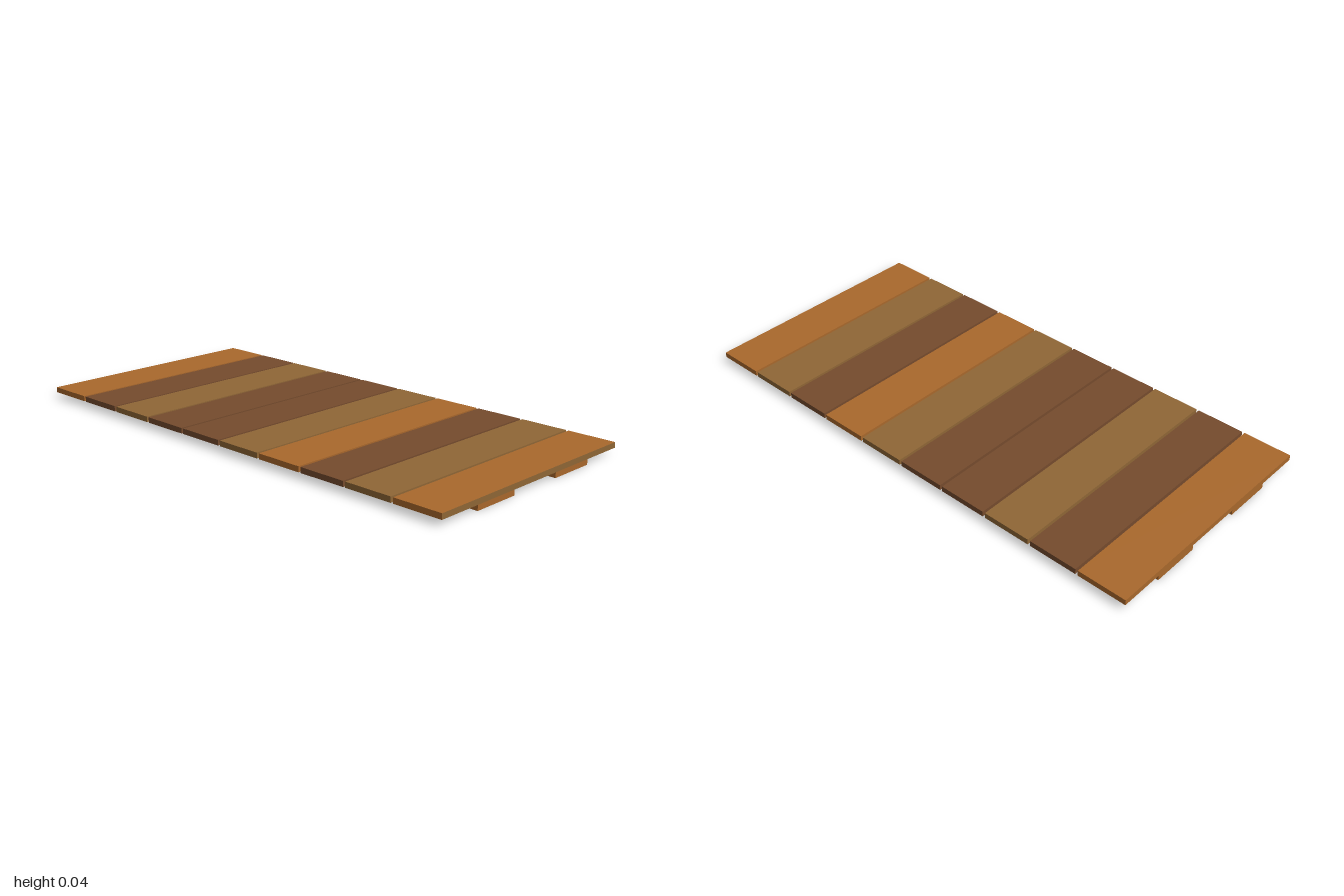
import * as THREE from 'three';

const paint = (name, color) => {
  const m = new THREE.MeshStandardMaterial({ color });
  m.name = name;
  return m;
};

export function createModel() {
  const orange = paint('orangeWood', 0xa9682c);
  const dark = paint('darkWood', 0x754b2d);
  const olive = paint('oliveWood', 0x8f6636);

  const group = new THREE.Group();
  group.name = 'plankPanel';

  const box = (name, size, position, material) => {
    const mesh = new THREE.Mesh(new THREE.BoxGeometry(...size), material);
    mesh.name = name;
    mesh.position.set(...position);
    group.add(mesh);
  };

  // Two long battens underneath
  const railHeight = 0.02;
  for (const [name, side] of [['frontBatten', 1], ['backBatten', -1]]) {
    box(name, [2, railHeight, 0.19], [0, railHeight / 2, side * 0.21], orange);
  }

  // Ten planks laid across with narrow gaps
  const width = 0.191, pitch = 0.201, thickness = 0.021;
  const woods = [orange, dark, olive, dark, dark, olive, orange, dark, olive, orange];
  woods.forEach((wood, i) => {
    // The outer end face of the last plank is olive
    const material = i === 9 ? [olive, wood, wood, wood, wood, wood] : wood;
    box(`plank${i + 1}`, [width, thickness, 0.958],
      [(i - 4.5) * pitch, railHeight + thickness / 2, 0], material);
  });

  return group;
}
